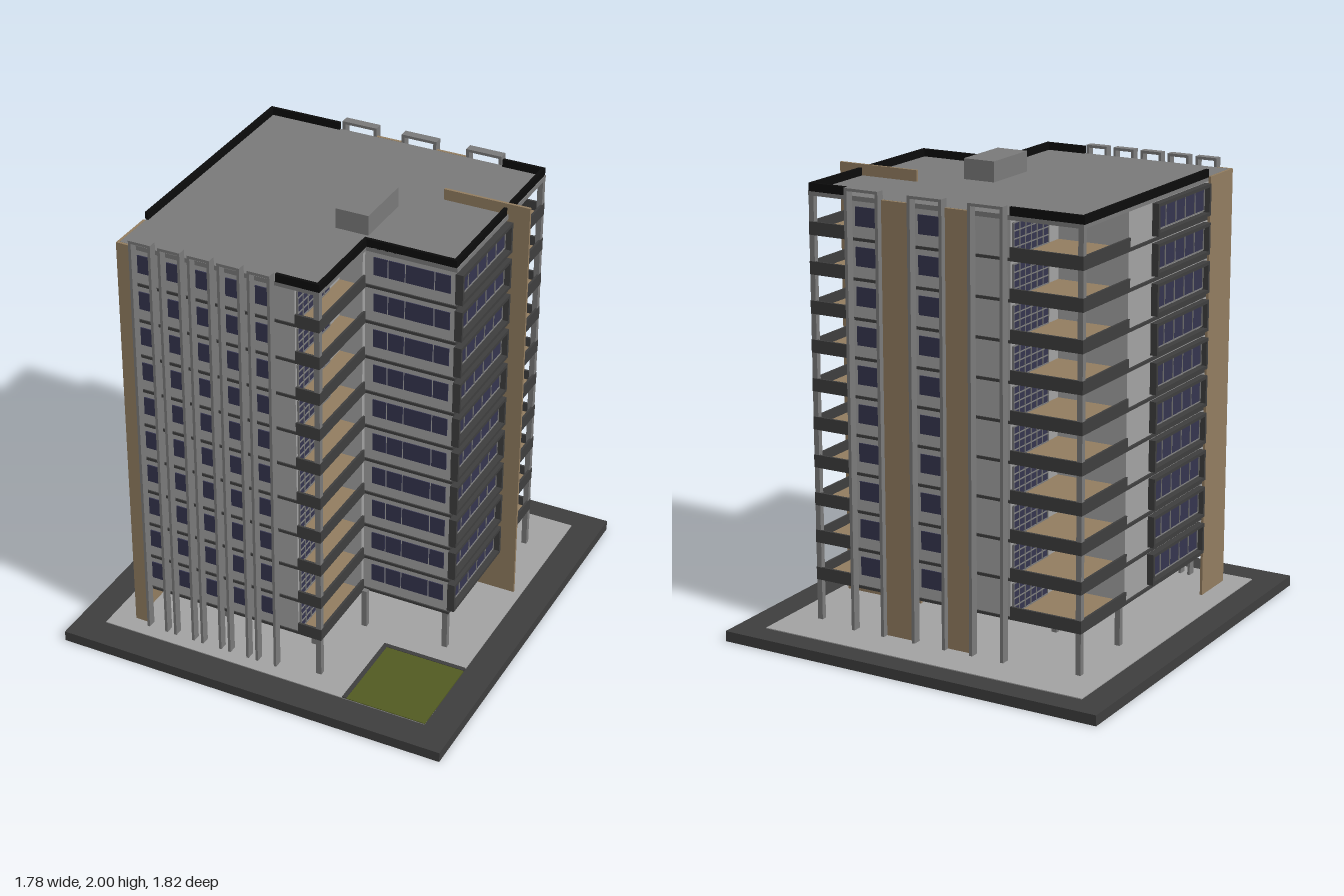
import * as THREE from 'three';
import { mergeGeometries } from 'three/addons/utils/BufferGeometryUtils.js';

const mat = (name, color) => {
  const m = new THREE.MeshStandardMaterial({ color });
  m.name = name;
  return m;
};

// Box given by its min and max on each axis
function box(x0, x1, y0, y1, z0, z1) {
  const g = new THREE.BoxGeometry(x1 - x0, y1 - y0, z1 - z0);
  return g.translate((x0 + x1) / 2, (y0 + y1) / 2, (z0 + z1) / 2);
}

// Prism standing on a plan outline of [x, z] points
function prism(plan, y0, y1) {
  const shape = new THREE.Shape(plan.map(([x, z]) => new THREE.Vector2(x, -z)));
  const g = new THREE.ExtrudeGeometry(shape, { depth: y1 - y0, bevelEnabled: false });
  return g.rotateX(-Math.PI / 2).translate(0, y0, 0).toNonIndexed();
}

export function createModel() {
  const group = new THREE.Group();
  const M = {
    wall: mat('light grey wall', 0xa2a2a2),
    concrete: mat('concrete grey', 0x7a7a7a),
    dark: mat('dark grey', 0x3e3e3e),
    black: mat('black', 0x0c0c0c),
    tan: mat('tan cladding', 0x927d60),
    glass: mat('blue glass', 0x35354f),
    lawn: mat('lawn green', 0x525b22),
  };
  const add = (name, material, geoms) => {
    const list = geoms.map((g) => (g.index ? g.toNonIndexed() : g));
    const mesh = new THREE.Mesh(mergeGeometries(list), material);
    mesh.name = name;
    group.add(mesh);
  };

  const GROUND = 0.05, FIRST = 0.235, STEP = 0.1665, FLOORS = 10, ROOF = 1.9;
  const levels = Array.from({ length: FLOORS }, (_, i) => FIRST + i * STEP);

  // Site
  add('basePlate', M.dark, [box(-0.89, 0.89, 0, 0.046, -0.91, 0.91)]);
  add('paving', M.wall, [box(-0.765, 0.76, 0.046, GROUND, -0.8, 0.775)]);
  add('lawnBorder', M.dark, [box(0.38, 0.4, 0.046, 0.055, 0.37, 0.775),
    box(0.4, 0.76, 0.046, 0.055, 0.37, 0.39)]);
  add('lawn', M.lawn, [box(0.4, 0.76, 0.046, 0.053, 0.39, 0.775)]);

  // Body with three recessed balcony corners, raised on columns
  const outline = [[-0.65, 0.68], [0.235, 0.68], [0.235, 0.275], [0.632, 0.275], [0.632, -0.6], [-0.65, -0.6]];
  const inner = [[-0.64, 0.674], [0.125, 0.674], [0.125, 0.29], [0.228, 0.29], [0.228, 0.268], [0.625, 0.268],
    [0.625, -0.212], [0.43, -0.212], [0.43, -0.594], [-0.32, -0.594], [-0.32, -0.21], [-0.64, -0.21]];
  add('walls', M.wall, [prism(inner, FIRST, ROOF)]);
  add('floorSlabs', M.dark, levels.map((y) => prism(outline, y - 0.006, y + 0.006)));
  add('roofSlab', M.concrete, [prism(outline, ROOF - 0.008, ROOF + 0.012)]);
  add('core', M.concrete, [box(-0.09, 0.07, GROUND, FIRST, -0.14, 0.14)]);
  add('roofHousing', M.concrete, [box(0.06, 0.205, ROOF, 2, -0.08, 0.195)]);

  // Columns: corner ones run the full height
  const column = (x, z, top) => box(x - 0.012, x + 0.012, GROUND, top, z - 0.012, z + 0.012);
  add('cornerColumns', M.concrete, [[0.222, 0.667], [0.619, -0.587], [-0.637, -0.587]]
    .map(([x, z]) => column(x, z, ROOF)));
  add('groundColumns', M.concrete, [[-0.32, 0.495], [0.11, 0.495], [0.245, 0.285], [0.485, -0.23],
    [0.615, 0.262], [-0.62, -0.22], [-0.32, -0.22]].map(([x, z]) => column(x, z, FIRST)));

  // Black parapet
  const P0 = ROOF + 0.01, P1 = 1.945;
  add('parapet', M.black, [
    [-0.65, -0.32, -0.602, -0.588], [0.44, 0.628, -0.602, -0.588], [0.614, 0.628, -0.6, -0.23],
    [0.614, 0.628, -0.21, 0.275], [0.228, 0.628, 0.261, 0.275], [0.223, 0.237, 0.261, 0.682],
    [0.045, 0.237, 0.668, 0.682], [-0.655, -0.641, -0.602, 0.475],
  ].map(([x0, x1, z0, z1]) => box(x0, x1, P0, P1, z0, z1)));

  // Tall hoops on the front and back
  const hoop = (x0, x1, z0, z1, t) => [
    box(x0, x0 + t, GROUND, 1.95, z0, z1),
    box(x1 - t, x1, GROUND, 1.95, z0, z1),
    box(x0 + t, x1 - t, 1.938, 1.95, z0, z1),
  ];
  const frontBays = [0, 1, 2, 3, 4].map((i) => -0.54 + i * 0.1325);
  const backBays = [-0.23, 0.05, 0.35];
  add('frontHoops', M.concrete, frontBays.flatMap((x) => hoop(x - 0.05, x + 0.05, 0.68, 0.718, 0.012)));
  add('backHoops', M.concrete, backBays.flatMap((x) => hoop(x - 0.081, x + 0.081, -0.64, -0.6, 0.014)));

  // Tan cladding
  add('sideFin', M.tan, [box(0.345, 0.725, GROUND, 1.96, -0.228, -0.216)]);
  add('cornerCladding', M.tan, [box(-0.662, -0.651, GROUND, 1.912, 0.48, 0.692),
    box(-0.662, -0.59, GROUND, 1.912, 0.681, 0.692)]);
  add('backCladding', M.tan, [box(-0.15, -0.03, GROUND, 1.912, -0.614, -0.601),
    box(0.13, 0.27, GROUND, 1.912, -0.614, -0.601)]);

  // Per-floor details
  const glass = [], bars = [], frames = [], rails = [], decks = [];

  // Glazing on an x-facing wall; s is the outward side, with upright and level bars
  const sideGlazing = (x, s, y0, y1, z0, z1, uprights, levelsOfBars) => {
    const slab = (list, d, ...r) => list.push(box(Math.min(x, x + s * d), Math.max(x, x + s * d), ...r));
    slab(glass, 0.004, y0, y1, z0, z1);
    for (let i = 0; i <= uprights; i++) {
      const z = z0 + ((z1 - z0) * i) / uprights;
      slab(bars, 0.008, y0, y1, z - 0.002, z + 0.002);
    }
    for (let i = 0; i <= levelsOfBars; i++) {
      const y = y0 + ((y1 - y0) * i) / levelsOfBars;
      slab(bars, 0.008, y - 0.002, y + 0.002, z0, z1);
    }
  };

  // Projecting dark surround on a side wall
  const surround = (x0, x1, y0, y1, z0, z1, t) => frames.push(
    box(x0, x1, y0, y0 + t, z0, z1), box(x0, x1, y1 - t, y1, z0, z1),
    box(x0, x1, y0 + t, y1 - t, z0, z0 + t), box(x0, x1, y0 + t, y1 - t, z1 - t, z1));

  for (const y of levels) {
    const w0 = y + 0.055, w1 = y + 0.135;
    // Front and back bay windows
    frontBays.forEach((x) => glass.push(box(x - 0.036, x + 0.036, w0, w1, 0.672, 0.679)));
    backBays.slice(1).forEach((x) => glass.push(box(x - 0.055, x + 0.055, w0, w1, -0.599, -0.592)));
    // Four-pane window of the set-back front wall
    [[0.267, 0.327], [0.333, 0.402], [0.408, 0.53], [0.536, 0.602]]
      .forEach(([a, b]) => glass.push(box(a, b, w0, w1, 0.266, 0.272)));
    // Framed strip windows on both sides
    surround(0.625, 0.658, y + 0.016, y + 0.152, -0.208, 0.277, 0.014);
    surround(-0.67, -0.64, y + 0.016, y + 0.152, -0.008, 0.472, 0.014);
    sideGlazing(0.626, 1, y + 0.038, y + 0.134, -0.19, 0.258, 5, 1);
    sideGlazing(-0.641, -1, y + 0.038, y + 0.134, 0.012, 0.452, 5, 1);
    // Balcony glazing
    sideGlazing(0.125, 1, y + 0.012, y + 0.143, 0.39, 0.66, 6, 4);
    sideGlazing(0.43, 1, y + 0.012, y + 0.143, -0.58, -0.31, 6, 4);
    sideGlazing(-0.32, -1, y + 0.012, y + 0.143, -0.58, -0.3, 6, 4);
    // Balcony decks
    decks.push(box(0.127, 0.222, y + 0.005, y + 0.009, 0.292, 0.668),
      box(0.432, 0.62, y + 0.005, y + 0.009, -0.588, -0.23),
      box(-0.638, -0.322, y + 0.005, y + 0.009, -0.588, -0.212));
    // Balcony rails
    const r0 = y + 0.006, r1 = y + 0.05;
    rails.push(box(0.226, 0.236, r0, r1, 0.28, 0.68), box(0.127, 0.226, r0, r1, 0.67, 0.68),
      box(0.622, 0.632, r0, r1, -0.6, -0.23), box(0.44, 0.622, r0, r1, -0.6, -0.59),
      box(-0.65, -0.64, r0, r1, -0.6, -0.212), box(-0.64, -0.32, r0, r1, -0.6, -0.59));
  }
  add('windowGlass', M.glass, glass);
  add('windowBars', M.concrete, bars);
  add('windowSurrounds', M.dark, frames);
  add('balconyDecks', M.tan, decks);
  add('balconyRails', M.dark, rails);

  return group;
}
